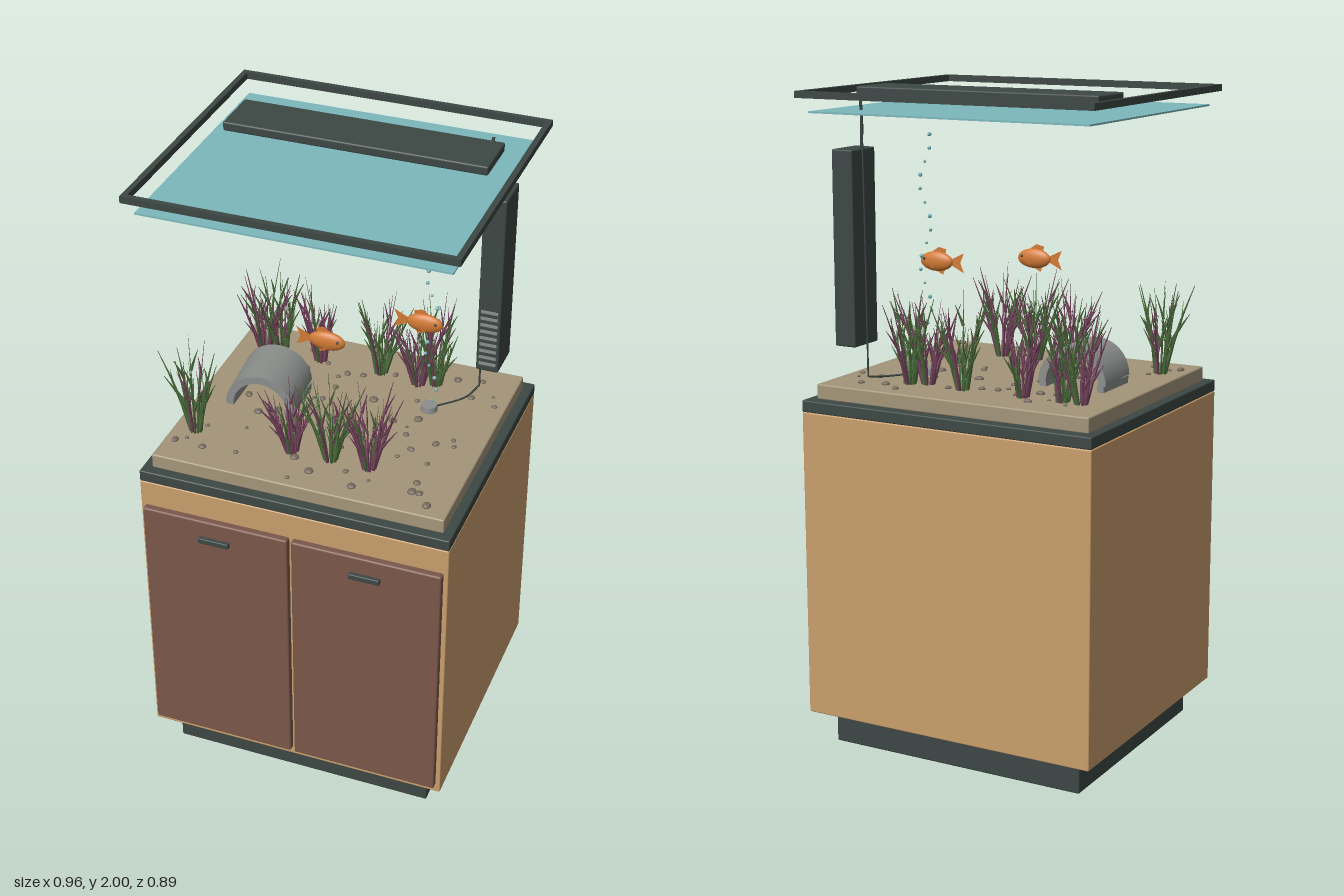
import * as THREE from 'three';
import { mergeGeometries } from 'three/addons/utils/BufferGeometryUtils.js';
import { RoundedBoxGeometry } from 'three/addons/geometries/RoundedBoxGeometry.js';

const colours = {
  wood: 0xc99e6c, doorBrown: 0x7a574a, charcoal: 0x3c4744, sand: 0xa4957a, glass: 0x7cb8bc,
  stone: 0x8b8f8c, pebble: 0x776b5e, plum: 0x78455f, leafGreen: 0x4c6e3c, orange: 0xd27a34,
};
const mats = {};

export function createModel() {
  const model = new THREE.Group();
  model.name = 'aquariumOnCabinet';
  for (const [name, color] of Object.entries(colours)) {
    mats[name] = new THREE.MeshStandardMaterial({ color });
    mats[name].name = name;
  }
  mats.orange.side = THREE.DoubleSide;

  let seed = 7;
  const rand = (a = 0, b = 1) => {
    seed = (seed * 16807) % 2147483647;
    return a + (b - a) * seed / 2147483647;
  };
  const add = (name, geometry, mat, parent = model) => {
    const mesh = new THREE.Mesh(geometry, mats[mat]);
    mesh.name = name;
    parent.add(mesh);
    return mesh;
  };
  // Box given by its minimum and maximum on each axis
  const box = (name, mat, x0, x1, y0, y1, z0, z1, r = 0) => {
    const s = [x1 - x0, y1 - y0, z1 - z0];
    const g = r ? new RoundedBoxGeometry(...s, 2, r) : new THREE.BoxGeometry(...s);
    return add(name, g.translate((x0 + x1) / 2, (y0 + y1) / 2, (z0 + z1) / 2), mat);
  };

  // Cabinet
  box('plinth', 'charcoal', -0.42, 0.42, 0, 0.105, -0.385, 0.355, 0.005);
  box('cabinet', 'wood', -0.48, 0.48, 0.105, 1.052, -0.445, 0.41, 0.004);
  for (const s of [-1, 1]) {
    const side = s < 0 ? 'right' : 'left';
    const c = s * 0.236;
    box(side + 'Door', 'doorBrown', c - 0.23, c + 0.23, 0.135, 0.97, 0.405, 0.432, 0.006);
    box(side + 'Handle', 'charcoal', c - 0.048, c + 0.048, 0.897, 0.915, 0.43, 0.445, 0.003);
  }
  box('lowerRim', 'charcoal', -0.48, 0.48, 1.052, 1.088, -0.445, 0.41, 0.004);
  box('sandBed', 'sand', -0.452, 0.452, 1.086, 1.133, -0.407, 0.379, 0.005);

  // Upper rim, lid and lamp
  const ring = new THREE.Shape();
  ring.moveTo(-0.48, -0.41).lineTo(0.48, -0.41).lineTo(0.48, 0.445).lineTo(-0.48, 0.445).closePath();
  const hole = new THREE.Path();
  hole.moveTo(-0.463, -0.393).lineTo(-0.463, 0.428).lineTo(0.463, 0.428).lineTo(0.463, -0.393).closePath();
  ring.holes.push(hole);
  add('upperRim', new THREE.ExtrudeGeometry(ring, { depth: 0.02, bevelEnabled: false })
    .rotateX(-Math.PI / 2).translate(0, 1.975, 0), 'charcoal');
  box('glassLid', 'glass', -0.453, 0.453, 1.931, 1.936, -0.416, 0.382);
  box('lamp', 'charcoal', -0.396, 0.396, 1.972, 2, -0.252, -0.09, 0.005);

  // Filter with intake slots, power cord and air line
  box('filter', 'charcoal', 0.346, 0.416, 1.243, 1.825, -0.357, -0.232, 0.005);
  for (let i = 0; i < 9; i++) {
    const y = 1.265 + i * 0.0225;
    box('filterSlot' + (i + 1), 'stone', 0.355, 0.408, y, y + 0.009, -0.233, -0.229);
  }
  const tube = (name, points, r) => add(name, new THREE.TubeGeometry(
    new THREE.CatmullRomCurve3(points.map(p => new THREE.Vector3(...p))), 32, r, 6), 'charcoal');
  tube('powerCord', [[0.345, 1.982, -0.308], [0.346, 1.9, -0.3], [0.352, 1.815, -0.295]], 0.005);
  tube('airLine', [[0.343, 1.975, -0.306], [0.342, 1.6, -0.3], [0.342, 1.145, -0.295]], 0.003);
  tube('floorAirLine', [[0.342, 1.145, -0.295], [0.32, 1.137, -0.23], [0.235, 1.14, -0.13]], 0.003);

  // Air stone and rising bubbles
  add('airStone', new THREE.CylinderGeometry(0.024, 0.026, 0.02, 16).translate(0.235, 1.142, -0.13), 'stone');
  const bubbles = [];
  for (let i = 0; i < 18; i++) {
    bubbles.push(new THREE.SphereGeometry(0.0045 + 0.002 * (i % 3) / 2, 8, 6)
      .translate(0.237 + 0.019 * Math.sin(i * 1.02 + 0.4), 1.17 + i * 0.0405, -0.13));
  }
  add('bubbles', mergeGeometries(bubbles), 'glass');

  // Arched cave
  const arch = new THREE.Shape();
  arch.absarc(0, 0, 0.107, 0, Math.PI, false);
  arch.absarc(0, 0, 0.083, Math.PI, 0, true);
  arch.closePath();
  add('stoneArch', new THREE.ExtrudeGeometry(arch, { depth: 0.19, bevelEnabled: false, curveSegments: 20 })
    .translate(0, 0, -0.095).rotateY(0.08).translate(-0.245, 1.153, -0.027), 'stone');
  for (const s of [-1, 1]) {
    box('archFoot', 'stone', -0.245 + s * 0.095 - 0.011, -0.245 + s * 0.095 + 0.011, 1.13, 1.155, -0.11, 0.055);
  }

  // Pebbles
  const pebbles = [];
  for (let i = 0; i < 60; i++) {
    const r = rand(0.006, 0.015);
    pebbles.push(new THREE.SphereGeometry(r, 8, 6).scale(1, 0.55, rand(0.7, 1.1))
      .rotateY(rand(0, 3)).translate(rand(-0.42, 0.42), 1.135, rand(-0.37, 0.35)));
  }
  add('pebbles', mergeGeometries(pebbles), 'pebble');

  // Plants: tapering stems that bend outwards, each with short side leaves
  const blade = (w, h, bend) => {
    const g = new THREE.CylinderGeometry(0.0008, w, h, 4, 3).translate(0, h / 2, 0).scale(1, 1, 0.5);
    const p = g.attributes.position;
    for (let i = 0; i < p.count; i++) p.setX(i, p.getX(i) + bend * p.getY(i) ** 2);
    g.computeVertexNormals();
    return g;
  };
  const clumps = [
    [-0.38, 0.22, 'leafGreen'], [-0.07, 0.22, 'plum'], [0.05, 0.22, 'leafGreen'], [0.17, 0.22, 'plum'],
    [-0.36, -0.27, 'plum'], [-0.3, -0.27, 'leafGreen'], [-0.17, -0.27, 'plum'],
    [0.03, -0.27, 'leafGreen'], [0.21, -0.27, 'leafGreen'], [0.16, -0.25, 'plum'],
  ];
  clumps.forEach(([x, z, main], n) => {
    const parts = { plum: [], leafGreen: [] };
    for (let i = 0; i < 13; i++) {
      const h = rand(0.16, 0.3);
      const tilt = rand(0.03, 0.3), turn = i * 2.4 + rand(0, 0.5);
      const other = main === 'plum' ? 'leafGreen' : 'plum';
      const list = parts[i % 4 === 3 ? other : main];
      const stem = [blade(0.0075, h, 0.3)];
      for (let k = 0; k < 3; k++) {
        const y = h * (0.3 + 0.17 * k);
        stem.push(blade(0.005, rand(0.05, 0.085), 0.4).rotateZ(-0.35)
          .rotateY(k * 2.2 + i).translate(0.3 * y * y, y, 0));
      }
      for (const g of stem) {
        list.push(g.rotateZ(-tilt).translate(0.012, 0, 0).rotateY(turn).translate(x, 1.128, z));
      }
    }
    for (const [mat, list] of Object.entries(parts)) {
      add(`plant${n + 1}${mat === 'plum' ? 'PlumLeaves' : 'GreenLeaves'}`, mergeGeometries(list), mat);
    }
  });

  // Fish facing the model's left
  const fin = points => new THREE.ShapeGeometry(new THREE.Shape(points.map(p => new THREE.Vector2(...p))));
  [[0, 1.472, 0.115], [0.232, 1.472, -0.075]].forEach(([x, y, z], n) => {
    const fish = new THREE.Group();
    fish.name = 'fish' + (n + 1);
    fish.position.set(x, y, z);
    add('body', new THREE.SphereGeometry(1, 20, 12).scale(0.056, 0.03, 0.017), 'orange', fish);
    add('tail', fin([[-0.045, 0.006], [-0.095, 0.03], [-0.082, 0], [-0.095, -0.03], [-0.045, -0.006]]), 'orange', fish);
    add('dorsalFin', fin([[0.022, 0.024], [-0.008, 0.044], [-0.034, 0.038], [-0.03, 0.02]]), 'orange', fish);
    add('bellyFin', fin([[0.01, -0.025], [-0.03, -0.02], [-0.022, -0.04]]), 'orange', fish);
    for (const s of [-1, 1]) {
      const side = s < 0 ? 'right' : 'left';
      const pectoral = add(side + 'Fin', fin([[0, 0], [-0.024, 0.006], [-0.02, -0.014]]), 'orange', fish);
      pectoral.position.set(0.016, -0.006, s * 0.016);
      pectoral.rotation.y = s * 0.6;
      add(side + 'Eye', new THREE.SphereGeometry(0.0045, 8, 6).translate(0.036, 0.007, s * 0.012), 'charcoal', fish);
    }
    model.add(fish);
  });

  return model;
}
